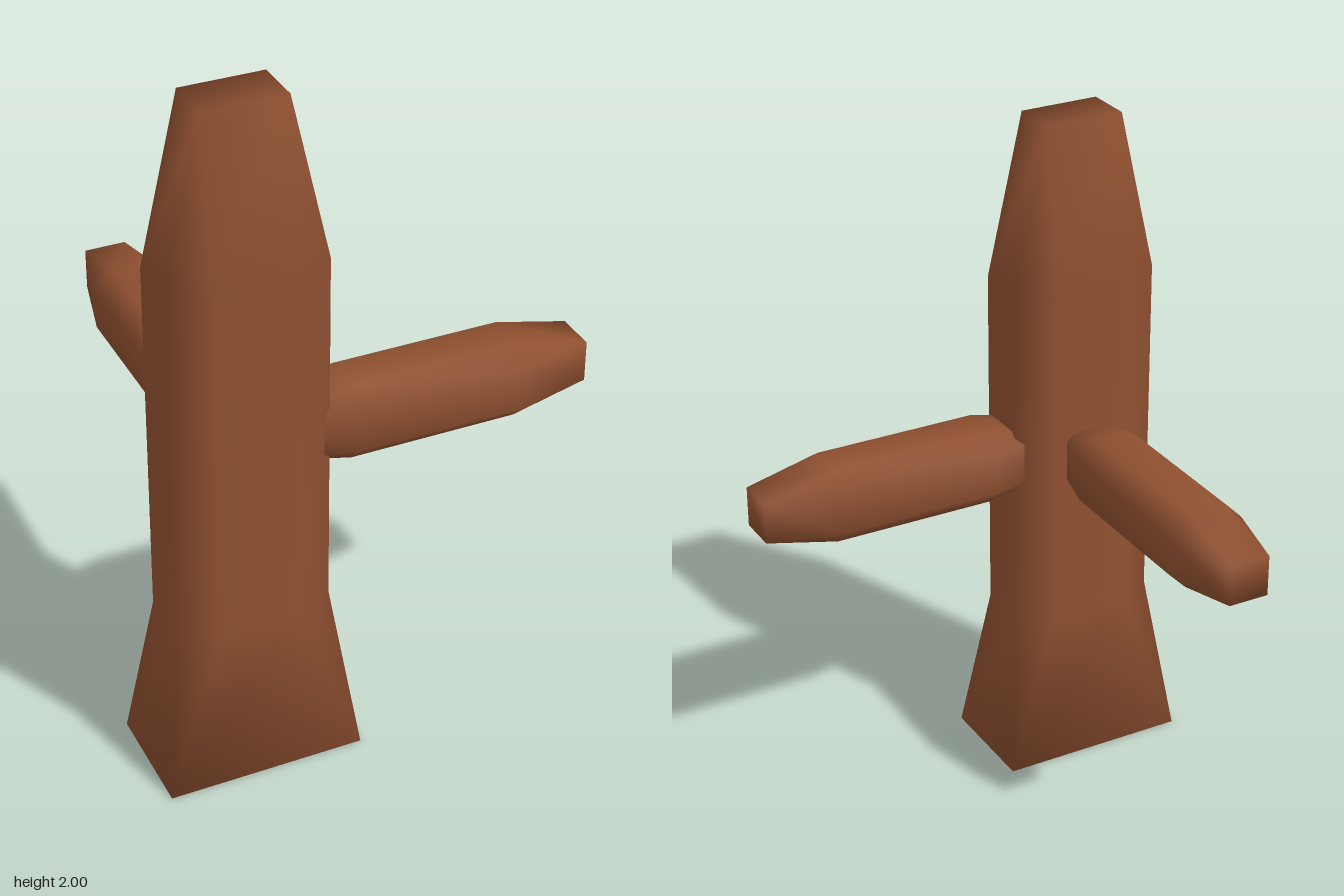
import * as THREE from 'three';
import { mergeVertices } from 'three/addons/utils/BufferGeometryUtils.js';

// Eight-point outline: a rectangle (hx, hz) with corners cut back to (cx, cz)
function ring(y, hx, hz, cx = hx, cz = hz) {
  return [[hx, -cz], [hx, cz], [cx, hz], [-cx, hz], [-hx, cz], [-hx, -cz], [-cx, -hz], [cx, -hz]]
    .map(([x, z]) => [x, y, z]);
}

// Smooth closed skin over a stack of rings, bottom to top
function loft(rings) {
  const index = [];
  const n = 8, last = (rings.length - 1) * n;
  for (let r = 0; r < rings.length - 1; r++) {
    for (let i = 0; i < n; i++) {
      const a = r * n + i, b = r * n + (i + 1) % n;
      index.push(a, a + n, b, b, a + n, b + n);
    }
  }
  for (let i = 1; i < n - 1; i++) {
    index.push(0, i, i + 1, last, last + i + 1, last + i);
  }
  const geometry = new THREE.BufferGeometry();
  geometry.setAttribute('position', new THREE.Float32BufferAttribute(rings.flat(2), 3));
  geometry.setIndex(index);
  const merged = mergeVertices(geometry, 1e-4);
  merged.computeVertexNormals();
  return merged;
}

export function createModel() {
  const group = new THREE.Group();
  const bark = new THREE.MeshStandardMaterial({ color: 0x8f5030 });
  bark.name = 'brown bark';

  function add(name, geometry, x, y, z) {
    const mesh = new THREE.Mesh(geometry, bark);
    mesh.name = name;
    mesh.position.set(x, y, z);
    group.add(mesh);
    return mesh;
  }

  // Trunk: flared rectangular foot, octagonal shaft, tapered top
  add('trunk', loft([
    ring(0, 0.283, 0.168),
    ring(0.48, 0.224, 0.136, 0.118, 0.078),
    ring(1.525, 0.224, 0.136, 0.118, 0.078),
    ring(2, 0.118, 0.071),
  ]), -0.36, 0, 0.4);

  // Branches: octagonal, tapered to a square at both ends
  const branch = loft([
    ring(-0.46, 0.06, 0.06),
    ring(-0.242, 0.113, 0.113, 0.06, 0.06),
    ring(0.242, 0.113, 0.113, 0.06, 0.06),
    ring(0.46, 0.06, 0.06),
  ]);
  add('leftBranch', branch, 0.18, 1, 0.398).rotation.z = -Math.PI / 2;
  add('backBranch', branch, -0.357, 1, -0.107).rotation.x = -Math.PI / 2;

  return group;
}
